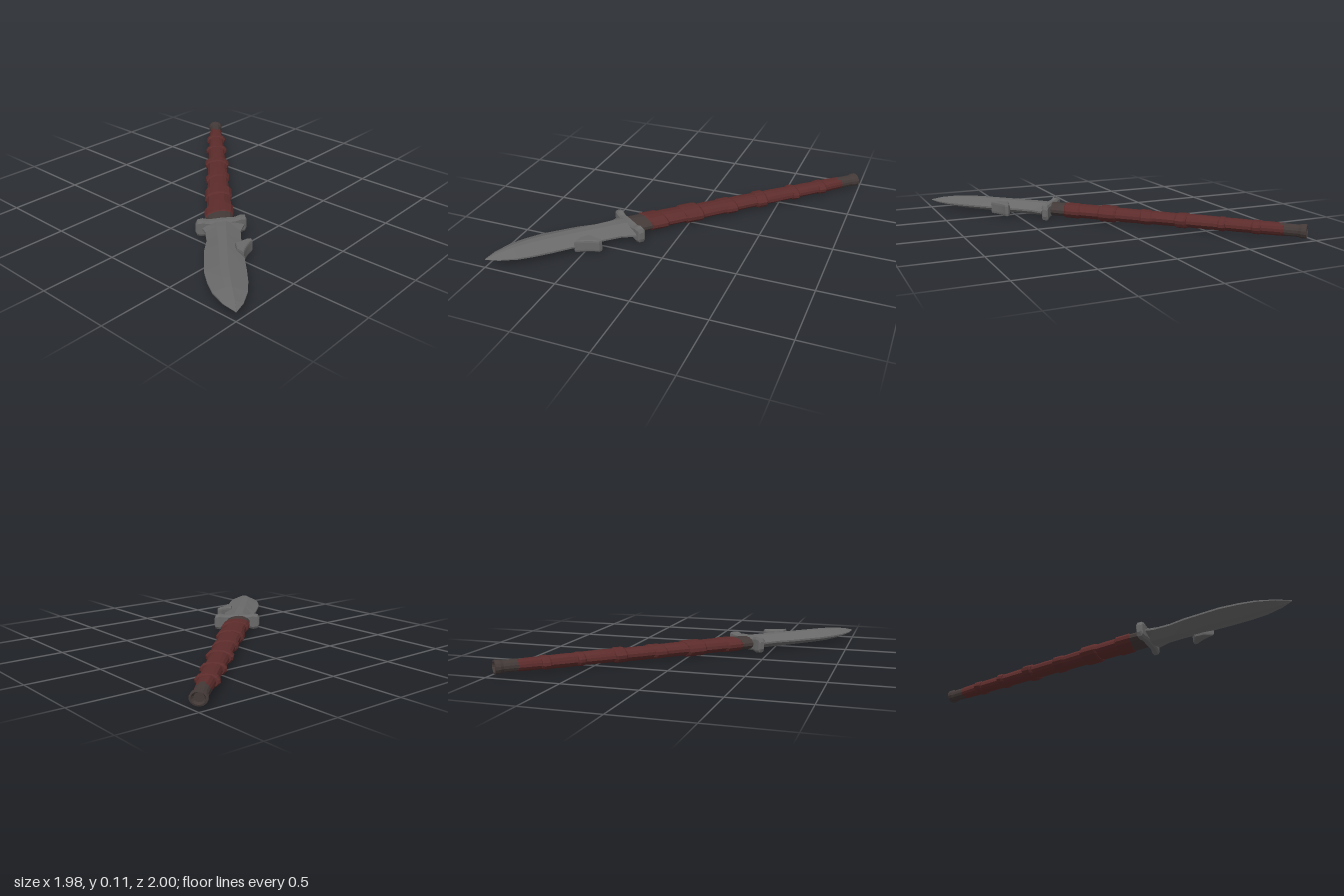
import * as THREE from 'three';

const mat = (name, color, flat = true) => {
  const m = new THREE.MeshStandardMaterial({ color, flatShading: flat });
  m.name = name;
  return m;
};

// Skin closed rings of [x, y, z] points, closing both ends with fans
function loft(rings) {
  const pos = [];
  const tri = (a, b, c) => pos.push(...a, ...b, ...c);
  const mid = (r) => [0, 1, 2].map((k) => r.reduce((s, p) => s + p[k], 0) / r.length);
  const n = rings[0].length, last = rings[rings.length - 1];
  const c0 = mid(rings[0]), c1 = mid(last);
  for (let j = 0; j < n; j++) {
    const k = (j + 1) % n;
    for (let i = 0; i < rings.length - 1; i++) {
      const a = rings[i], b = rings[i + 1];
      tri(a[j], a[k], b[j]);
      tri(a[k], b[k], b[j]);
    }
    tri(c0, rings[0][k], rings[0][j]);
    tri(c1, last[j], last[k]);
  }
  const g = new THREE.BufferGeometry();
  g.setAttribute('position', new THREE.Float32BufferAttribute(pos, 3));
  g.computeVertexNormals();
  return g;
}

let seed = 7;
const rand = () => (seed = (seed * 16807) % 2147483647) / 2147483647;

// The shaft leans slightly off the long axis
const axisZ = (u) => -0.01 + 0.0276 * (u + 1.36);

// Oval section at u: ry tall, rz wide, with optional per-side roughness and skew
function oval(u, ry, rz, rough = null, skew = 0, n = 14) {
  return Array.from({ length: n }, (_, j) => {
    const a = (j / n) * Math.PI * 2, k = rough ? rough[j] : 1;
    return [u + skew * Math.sin(a), ry * k * Math.cos(a), axisZ(u) + rz * k * Math.sin(a)];
  });
}

export function createModel() {
  const red = mat('red wrap', 0x5c2c2b);
  const steel = mat('grey blade', 0x696969);
  const dark = mat('dark wood', 0x433a38);
  const root = new THREE.Group();
  root.name = 'spear';
  const weapon = new THREE.Group();
  weapon.name = 'spearBody';
  const add = (name, geo, m) => {
    const mesh = new THREE.Mesh(geo, m);
    mesh.name = name;
    weapon.add(mesh);
    return mesh;
  };

  // Dark butt with a flared, hollowed end
  add('buttCap', loft([
    oval(-1.335, 0.028, 0.03), oval(-1.358, 0.036, 0.042), oval(-1.355, 0.046, 0.053),
    oval(-1.325, 0.046, 0.053), oval(-1.305, 0.04, 0.044), oval(-1.19, 0.041, 0.045),
  ]), dark);

  // Wrapped grip segments, each rough and tapering between its bands
  const stops = [-1.215, -1.04, -0.815, -0.545, -0.29, -0.01, 0.26];
  const widths = [0.047, 0.056, 0.062, 0.068, 0.073, 0.08, 0.085];
  for (let i = 0; i < stops.length - 1; i++) {
    const rough = Array.from({ length: 14 }, () => 0.94 + rand() * 0.1);
    const a = stops[i], b = stops[i + 1];
    const ry = 0.041 + i * 0.001;
    add('gripSegment', loft([
      oval(a, ry, widths[i], rough),
      oval(a + (b - a) * 0.6, ry + 0.002, (widths[i] + widths[i + 1]) / 2, rough),
      oval(b, ry, widths[i + 1] - 0.004, rough),
    ]), red);
  }

  // Raised bands: start, end, half height, half width, skew
  const bands = [
    [-1.07, -1.01, 0.045, 0.075, 0.0],
    [-0.84, -0.79, 0.046, 0.083, 0.003],
    [-0.585, -0.505, 0.05, 0.089, -0.005],
    [-0.33, -0.24, 0.048, 0.088, 0.02],
    [-0.075, 0.055, 0.055, 0.096, 0.01],
    [0.2, 0.325, 0.05, 0.1, 0.025],
  ];
  for (const [a, b, ry, rz, skew] of bands) {
    const rough = Array.from({ length: 14 }, () => 0.97 + rand() * 0.05);
    add('gripBand', loft([
      oval(a, ry * 0.86, rz * 0.86, rough, skew), oval(a + 0.012, ry, rz, rough, skew),
      oval(b - 0.012, ry, rz * 0.98, rough, skew), oval(b, ry * 0.86, rz * 0.86, rough, skew),
    ]), red);
  }

  // Dark neck between grip and guard
  add('neck', loft([oval(0.24, 0.042, 0.085), oval(0.34, 0.045, 0.09), oval(0.45, 0.045, 0.085)]), dark);

  // Cross guard with thick rounded ends: z, centre u, half height, half thickness
  const guard = [
    [-0.135, 0.405, 0.025, 0.015], [-0.125, 0.407, 0.05, 0.024], [-0.095, 0.415, 0.057, 0.026],
    [-0.06, 0.425, 0.047, 0.024], [0.03, 0.442, 0.05, 0.028], [0.11, 0.452, 0.047, 0.024],
    [0.15, 0.455, 0.057, 0.026], [0.183, 0.456, 0.05, 0.024], [0.195, 0.456, 0.025, 0.015],
  ];
  add('guard', loft(guard.map(([z, u, h, t]) => [
    [u + t, -h * 0.7, z], [u + t, h * 0.7, z], [u + t * 0.6, h, z], [u - t * 0.6, h, z],
    [u - t, h * 0.7, z], [u - t, -h * 0.7, z], [u - t * 0.6, -h, z], [u + t * 0.6, -h, z],
  ])), steel);

  // Bevelled blade: u, left edge z, right edge z, ridge z, half height, ridge half width
  const blade = [
    [0.44, 0.165, -0.118, 0.03, 0.043, 0.03],
    [0.53, 0.135, -0.088, 0.035, 0.045, 0.03],
    [0.64, 0.13, -0.084, 0.035, 0.045, 0.028],
    [0.76, 0.148, -0.086, 0.037, 0.045, 0.026],
    [1.0, 0.157, -0.09, 0.04, 0.044, 0.024],
    [1.12, 0.142, -0.088, 0.036, 0.042, 0.022],
    [1.22, 0.118, -0.078, 0.028, 0.036, 0.018],
    [1.33, 0.065, -0.046, 0.012, 0.022, 0.01],
    [1.407, 0.003, -0.003, 0, 0.003, 0.001],
  ];
  add('blade', loft(blade.map(([u, zl, zr, c, h, f]) => [
    [u, h, c + f], [u, 0.006 * (h / 0.045), zl], [u, -0.006 * (h / 0.045), zl], [u, -h, c + f],
    [u, -h, c - f], [u, -0.006 * (h / 0.045), zr], [u, 0.006 * (h / 0.045), zr], [u, h, c - f],
  ])), steel);

  // Backward-curving barb on one edge of the blade
  const s = new THREE.Shape();
  s.moveTo(0.735, 0.04);
  s.quadraticCurveTo(0.715, 0.08, 0.688, 0.115);
  s.lineTo(0.686, 0.14);
  s.lineTo(0.705, 0.146);
  s.quadraticCurveTo(0.75, 0.11, 0.85, 0.083);
  s.lineTo(0.8, 0.045);
  s.closePath();
  const barb = new THREE.ExtrudeGeometry(s, {
    depth: 0.05, bevelEnabled: true, bevelThickness: 0.018, bevelSize: 0.008, bevelOffset: -0.006,
    bevelSegments: 2, curveSegments: 5,
  });
  barb.translate(0, 0, -0.025);
  barb.rotateX(-Math.PI / 2);
  add('barb', barb, steel);

  // Lay the spear along the floor diagonal
  weapon.rotation.y = -Math.PI / 4;
  weapon.position.y = 0.06;
  root.add(weapon);
  return root;
}
